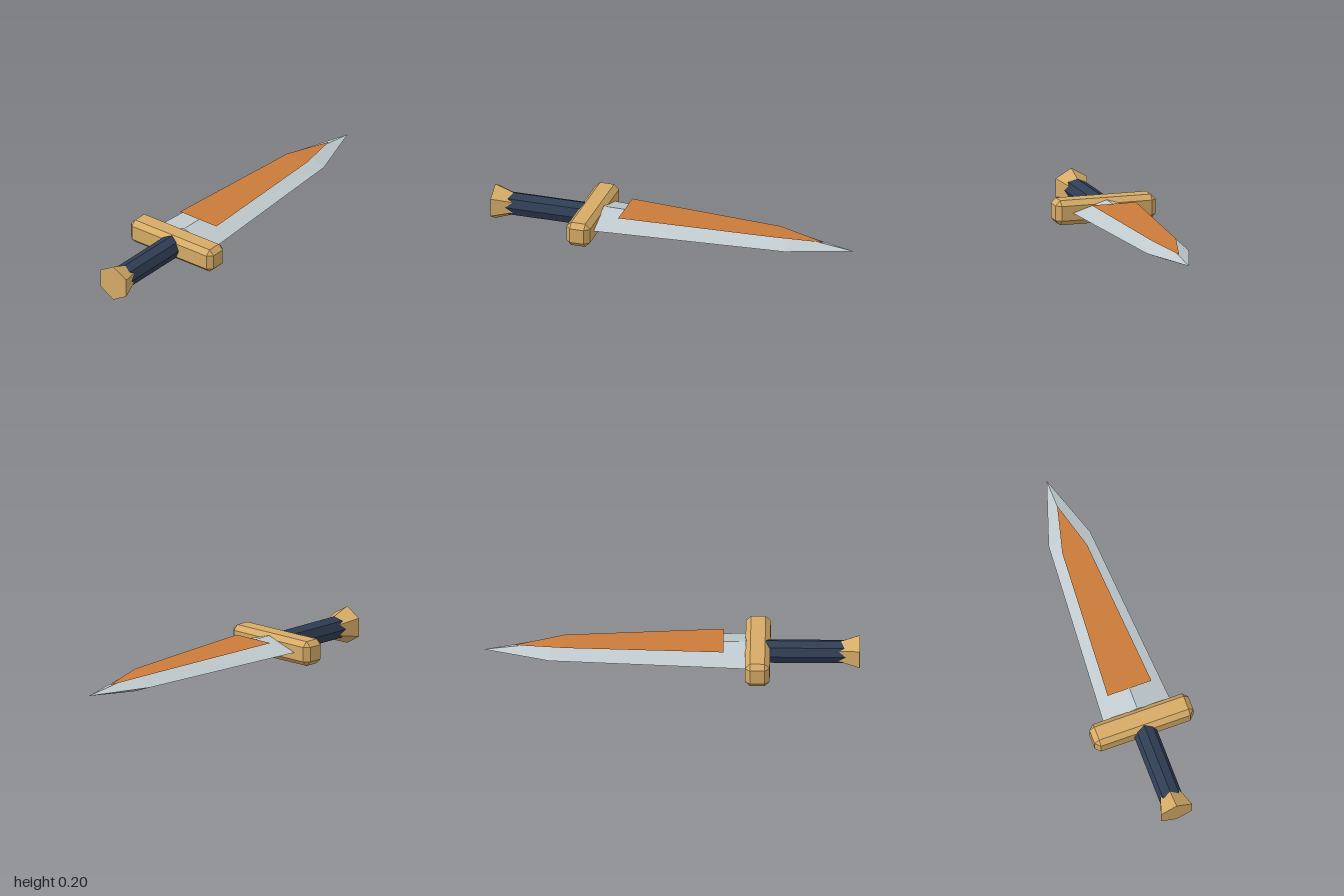
import * as THREE from 'three';
import { ConvexGeometry } from 'three/addons/geometries/ConvexGeometry.js';

const AXIS_Y = 0.1025; // height of the dagger's long axis

const makeMaterial = (name, color, side = THREE.FrontSide) =>
  new THREE.MeshStandardMaterial({ name, color, side, flatShading: true });

function addPart(group, name, geometry, material) {
  const flat = geometry.index ? geometry.toNonIndexed() : geometry;
  flat.computeVertexNormals();
  const mesh = new THREE.Mesh(flat, material);
  mesh.name = name;
  group.add(mesh);
}

// Move the three rows of a unit geometry to stations { z, w: half width, h: half height }
function shapeRows(geometry, rows, raised) {
  const p = geometry.attributes.position;
  for (let i = 0; i < p.count; i++) {
    const row = rows[Math.round((p.getZ(i) + 0.5) * 2)];
    const y = raised ? row.h : p.getY(i) * row.h;
    p.setXYZ(i, p.getX(i) * row.w, AXIS_Y + y, row.z);
  }
  return geometry;
}

// Box with every edge cut at 45 degrees
function bevelledBox(x, y, z, bevel) {
  const points = [];
  for (const sx of [-1, 1]) for (const sy of [-1, 1]) for (const sz of [-1, 1]) {
    for (let axis = 0; axis < 3; axis++) {
      const d = [x - bevel, y - bevel, z - bevel];
      d[axis] += bevel;
      points.push(new THREE.Vector3(sx * d[0], sy * d[1], sz * d[2]));
    }
  }
  return new ConvexGeometry(points);
}

export function createModel() {
  const group = new THREE.Group();
  group.name = 'dagger';
  const steel = makeMaterial('steel', 0xc0cace);
  const orange = makeMaterial('orange inlay', 0xcb7b3a, THREE.DoubleSide);
  const brass = makeMaterial('brass', 0xd6ab67);
  const navy = makeMaterial('navy grip', 0x2f3d54);

  // Diamond-section blade: tip, shoulder, base
  const blade = new THREE.CylinderGeometry(1, 1, 1, 4, 2).rotateX(-Math.PI / 2);
  addPart(group, 'blade', shapeRows(blade, [
    { z: -1, w: 0, h: 0 },
    { z: -0.65, w: 0.118, h: 0.044 },
    { z: 0.395, w: 0.19, h: 0.059 },
  ]), steel);

  // Flat inlay resting on the blade's upper ridge
  const inlay = new THREE.PlaneGeometry(2, 1, 1, 2).rotateX(-Math.PI / 2);
  addPart(group, 'bladeInlay', shapeRows(inlay, [
    { z: -0.84, w: 0, h: 0.027 },
    { z: -0.57, w: 0.07, h: 0.052 },
    { z: 0.275, w: 0.124, h: 0.063 },
  ], true), orange);

  // Crossguard
  addPart(group, 'guard',
    bevelledBox(0.28, 0.067, 0.066, 0.027).translate(0, AXIS_Y, 0.457), brass);

  // Octagonal grip
  addPart(group, 'grip',
    new THREE.CylinderGeometry(0.064, 0.064, 0.47, 8)
      .rotateX(Math.PI / 2).translate(0, AXIS_Y, 0.725), navy);

  // Flared hexagonal pommel
  addPart(group, 'pommel',
    new THREE.CylinderGeometry(0.101, 0.05, 0.14, 6)
      .rotateX(Math.PI / 2).translate(0, AXIS_Y, 0.93), brass);

  return group;
}
